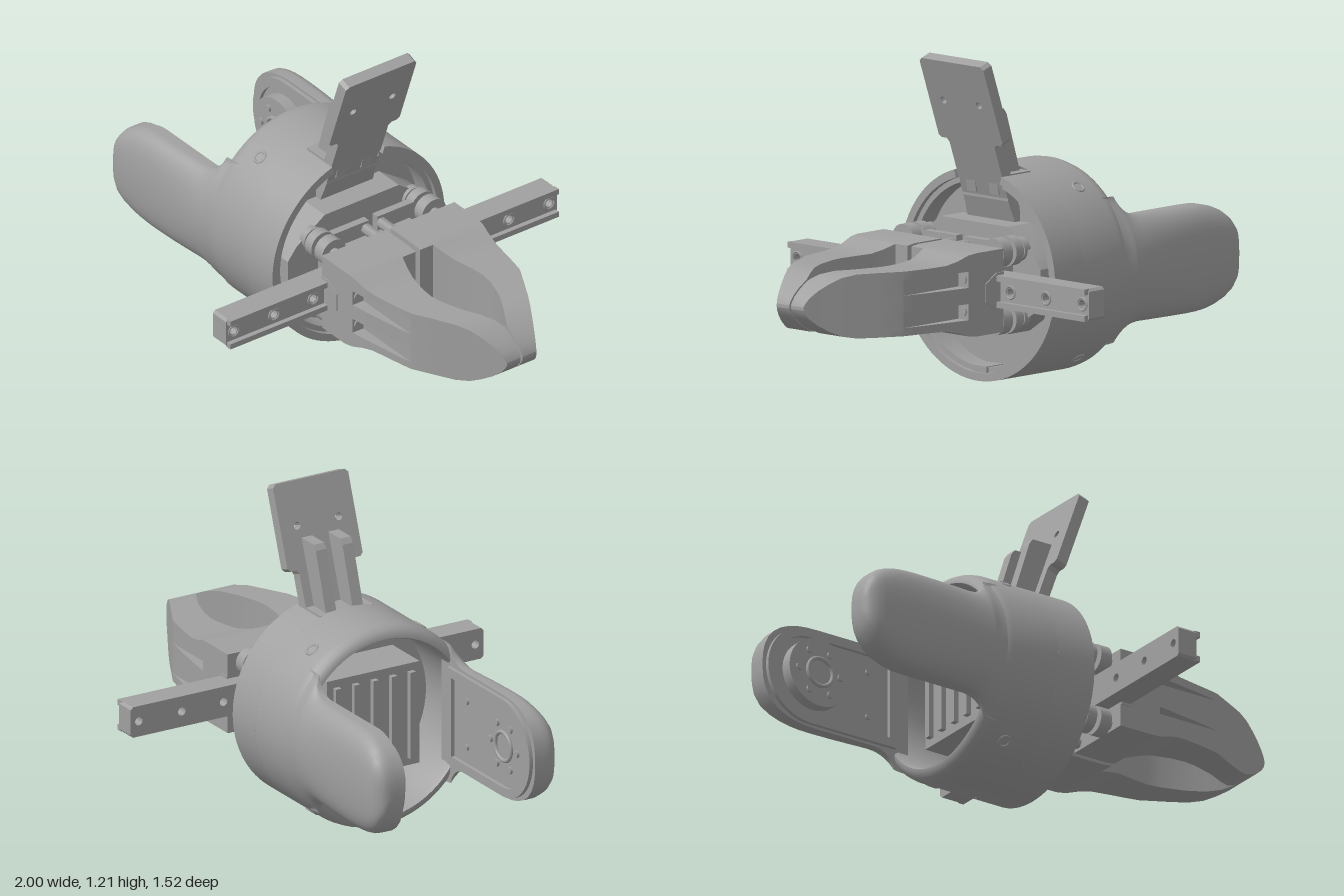
import * as THREE from 'three';
import { toCreasedNormals } from 'three/addons/utils/BufferGeometryUtils.js';

const CY = 0.4; // height of the main axis

export function createModel() {
  const root = new THREE.Group();
  root.name = 'roboticGripper';
  const grey = new THREE.MeshStandardMaterial({ color: 0xa0a0a0, side: THREE.DoubleSide });
  grey.name = 'grey plastic';

  const add = (name, geo, x = 0, y = 0, z = 0, parent = root) => {
    const m = new THREE.Mesh(geo, grey);
    m.name = name;
    m.position.set(x, y, z);
    parent.add(m);
    return m;
  };
  const box = (name, x0, x1, y0, y1, z0, z1) =>
    add(name, new THREE.BoxGeometry(x1 - x0, y1 - y0, z1 - z0), (x0 + x1) / 2, (y0 + y1) / 2, (z0 + z1) / 2);
  // Extrudes a (z, y) shape from x0 to x1
  const extrudeX = (shape, x0, x1) =>
    toCreasedNormals(new THREE.ExtrudeGeometry(shape, { depth: x1 - x0, bevelEnabled: false, curveSegments: 40 })
      .rotateY(Math.PI / 2).translate(x0, 0, 0), 0.5);
  const polygon = (pts) => new THREE.Shape(pts.map((p) => new THREE.Vector2(...p)));
  const hole = (shape, x, y, r) => shape.holes.push(new THREE.Path().absarc(x, y, r, 0, Math.PI * 2, true));
  const rod = (name, r, x0, x1, y, z, sides = 28) =>
    add(name, new THREE.CylinderGeometry(r, r, x1 - x0, sides).rotateZ(Math.PI / 2), (x0 + x1) / 2, y, z);
  const button = (name, r, depth, x, y, z, sides = 32) =>
    add(name, new THREE.CylinderGeometry(r, r, depth, sides).rotateX(Math.PI / 2), x, y, z);

  // Skins a row of closed cross-sections that follow x; each is a list of [z, y]
  const loft = (sections, crease) => {
    const n = sections[0].pts.length, pos = [], idx = [];
    sections.forEach(({ x, pts }) => pts.forEach(([z, y]) => pos.push(x, y, z)));
    for (let i = 0; i < sections.length - 1; i++) {
      for (let j = 0; j < n; j++) {
        const a = i * n + j, b = i * n + (j + 1) % n, c = b + n, d = a + n;
        idx.push(a, d, c, a, c, b);
      }
    }
    const cap = (s) => THREE.ShapeUtils.triangulateShape(s.pts.map((p) => new THREE.Vector2(...p)), []);
    const last = (sections.length - 1) * n;
    cap(sections[0]).forEach(([a, b, c]) => idx.push(a, b, c));
    cap(sections[sections.length - 1]).forEach(([a, b, c]) => idx.push(last + a, last + c, last + b));
    const g = new THREE.BufferGeometry();
    g.setAttribute('position', new THREE.Float32BufferAttribute(pos, 3));
    g.setIndex(idx);
    return toCreasedNormals(g, crease);
  };
  const mirrored = (pts, s) => (s > 0 ? pts : pts.map(([z, y]) => [-z, y]).reverse());

  // Round housing: rounded rear sleeve and a front sleeve with a slot at the top
  const profile = [[0.345, -0.15], [0.345, -0.395], [0.352, -0.41], [0.365, -0.408], [0.382, -0.395],
    [0.391, -0.375], [0.395, -0.35], [0.395, -0.15]].map((p) => new THREE.Vector2(...p));
  add('rearSleeve', toCreasedNormals(new THREE.LatheGeometry(profile, 80).rotateZ(-Math.PI / 2), 0.6), 0, CY);
  const gap = 0.31, a0 = Math.PI / 2 + gap, a1 = Math.PI * 2.5 - gap;
  const sector = (rIn, rOut) => {
    const s = new THREE.Shape();
    s.absarc(0, 0, rOut, a0, a1, false);
    s.absarc(0, 0, rIn, a1, a0, true);
    return s;
  };
  add('frontSleeve', extrudeX(sector(0.365, 0.395), -0.15, 0.01), 0, CY);
  add('innerLip', extrudeX(sector(0.345, 0.37), -0.15, -0.01), 0, CY);
  rod('bulkhead', 0.35, -0.14, -0.09, CY, 0, 64);
  box('rimKey', -0.09, 0.0, 0.03, 0.06, -0.035, 0.035);

  // Screw bosses around the housing
  for (const sy of [-1, 1]) for (const sz of [-1, 1]) {
    const ring = add('housingScrewRing', new THREE.TorusGeometry(0.022, 0.006, 8, 24), -0.28, CY + sy * 0.317, sz * 0.232);
    ring.lookAt(-0.28, CY + sy * 0.634, sz * 0.464);
  }

  // Drive box inside the housing
  box('driveBox', -0.33, -0.14, 0.2, 0.6, -0.2, 0.2);
  for (let i = -2; i <= 2; i++) box('driveRib', -0.35, -0.33, 0.23, 0.57, i * 0.08 - 0.012, i * 0.08 + 0.012);

  // Rear side arms, rounded at the tip and flared into the housing
  const armXs = [-1, -0.997, -0.99, -0.975, -0.95, -0.92, -0.88, -0.84, -0.8, -0.75, -0.65, -0.55, -0.5, -0.47,
    -0.45, -0.435, -0.422, -0.412, -0.38, -0.35];
  const armSection = (x, s) => {
    const tip = Math.max(0, Math.min(0.999, (-0.75 - x) / 0.25));
    const u = Math.max(0, Math.min(0.985, (x + 0.5) / 0.09));
    const h = 0.2 * (1 - tip ** 2.6) ** (1 / 2.6) + 0.09 * (1 - Math.sqrt(1 - u * u));
    const k = 0.72 + 0.28 * Math.max(0, Math.min(1, (x + 0.7) / 0.26));
    const nose = Math.max(0, Math.min(1, (-0.93 - x) / 0.07));
    const R = x > -0.42 ? 0.391 : 0.395, zin = 0.283;
    const pts = [];
    for (let i = 0; i <= 24; i++) {
      const t = Math.sin((i / 24 - 0.5) * Math.PI), dy = h * t;
      const edge = 0.4 + 0.6 * Math.sqrt(Math.max(0, 1 - t ** 6));
      const thick = Math.max(0.004, Math.sqrt(R * R - (k * dy) ** 2) - zin);
      pts.push([zin + thick * edge * (0.5 + 0.5 * Math.sqrt(1 - nose * nose)), CY + dy]);
    }
    pts.push([zin, CY + h], [zin, CY - h]);
    return { x, pts: mirrored(pts, s) };
  };
  const stadium = (C, x0, x1, r) => {
    const p = new C();
    p.moveTo(x1, r);
    p.lineTo(x0 + r, r);
    p.absarc(x0 + r, 0, r, Math.PI / 2, Math.PI * 1.5, false);
    p.lineTo(x1, -r);
    p.closePath();
    return p;
  };
  const rim = stadium(THREE.Shape, -0.985, -0.41, 0.19);
  rim.holes.push(stadium(THREE.Path, -0.95, -0.44, 0.155));
  const rimGeo = new THREE.ExtrudeGeometry(rim, { depth: 0.016, bevelEnabled: false, curveSegments: 24 });
  for (const s of [1, -1]) {
    add(s > 0 ? 'frontArm' : 'rearArm', loft(armXs.map((x) => armSection(x, s)), 0.6));
    add('armInnerRim', toCreasedNormals(rimGeo, 0.5), 0, CY, s > 0 ? 0.268 : -0.284);
    const z = s > 0 ? 0.279 : -0.222;
    if (s < 0) {
      button('hornDisc', 0.135, 0.045, -0.785, CY, -0.2475, 48);
      button('hornBase', 0.11, 0.03, -0.785, CY, -0.275, 48);
    }
    add('hubRing', new THREE.TorusGeometry(0.055, 0.008, 8, 36), -0.785, CY, z);
    for (let i = 0; i < 6; i++) {
      const a = i * Math.PI / 3;
      button('hubBolt', 0.014, 0.012, -0.785 + 0.092 * Math.cos(a), CY + 0.092 * Math.sin(a), z, 12);
    }
    for (const y of [-0.09, 0.09]) button('armBolt', 0.012, 0.012, -0.53, CY + y, s * 0.28, 12);
  }

  // Tilted mounting plate with two holes
  const half = [[0.115, -0.13], [0.115, 0.115], [0.125, 0.13], [0.15, 0.13], [0.162, 0.142], [0.162, 0.443], [0.149, 0.456]];
  const bottom = [[0.12, -0.235], [0.12, -0.17]];
  const side = [...bottom, ...half];
  const plateShape = polygon([...side, ...side.map(([z, y]) => [-z, y]).reverse()]);
  for (const z of [-0.09, 0.09]) hole(plateShape, z, 0.29, 0.014);
  const plate = add('mountingPlate', extrudeX(plateShape, -0.045, 0), 0, 0.775, 0);
  plate.rotation.z = -0.34;

  // Ribs behind the mounting plate
  const ribShape = polygon([[-0.155, 0.7], [-0.02, 0.7], [0.045, 1.02], [-0.045, 1.02], [-0.06, 1.0]]);
  const ribGeo = new THREE.ExtrudeGeometry(ribShape, { depth: 0.045, bevelEnabled: false });
  for (const z of [0.035, -0.08]) add('plateRib', ribGeo, 0, 0, z);
  box('ribFoot', -0.15, -0.03, 0.68, 0.78, -0.115, 0.115);

  // Front bracket
  const bracket = [[0.17, 0.2], [0.3, 0.11], [0.34, 0.06], [0.34, -0.06], [0.3, -0.11], [0.17, -0.2]];
  add('frontBracket', extrudeX(polygon([...bracket, ...bracket.map(([z, y]) => [-z, -y])]), -0.09, 0.03), 0, CY);
  box('centreBlock', 0.03, 0.13, 0.34, 0.46, -0.2, 0.2);

  // Linkage joints and bars
  for (const sy of [-1, 1]) {
    const y = CY + sy * 0.125;
    for (const sz of [-1, 1]) {
      const z = sz * 0.23;
      rod('jointPin', 0.022, 0.0, 0.2, y, z, 16);
      rod('jointInner', 0.055, 0.06, 0.1, y, z);
      rod('jointOuter', 0.055, 0.118, 0.165, y, z);
      rod('jointFoot', 0.045, 0.015, 0.045, y, z);
      rod('fingerScrew', 0.022, 0.1, 0.2, y, sz * 0.035, 6);
      box('linkBar', 0.07, 0.1, y - 0.03, y + 0.03, Math.min(z, sz * 0.02), Math.max(z, sz * 0.02));
    }
  }

  // Slide rail with holes and two lips
  const rail = polygon([[-0.76, -0.05], [-0.75, -0.06], [0.75, -0.06], [0.76, -0.05], [0.76, 0.05], [0.75, 0.06],
    [-0.75, 0.06], [-0.76, 0.05]]);
  for (const z of [0.36, 0.54, 0.725]) for (const s of [-1, 1]) hole(rail, s * z, 0, 0.016);
  add('slideRail', extrudeX(rail, 0.13, 0.21), 0, CY);
  for (const s of [-1, 1]) {
    const y = CY + s * 0.049;
    box('railLip', 0.205, 0.23, y - 0.011, y + 0.011, -0.755, 0.755);
    for (const z of [0.36, 0.54, 0.725]) {
      add('railHoleRing', new THREE.TorusGeometry(0.023, 0.004, 6, 24).rotateY(Math.PI / 2), 0.21, CY, s * z);
    }
  }

  // Fingers: x, inner z, outer z, half height, slotted
  const fingerRows = [
    [0.19, 0.01, 0.305, 0.155, 0], [0.33, 0.01, 0.305, 0.155, 0], [0.37, 0.01, 0.3, 0.15, 0],
    [0.37, 0.07, 0.3, 0.15, 1], [0.42, 0.085, 0.293, 0.133, 1], [0.47, 0.098, 0.285, 0.122, 1],
    [0.55, 0.115, 0.272, 0.12, 1], [0.61, 0.12, 0.261, 0.12, 1], [0.66, 0.113, 0.25, 0.12, 0],
    [0.75, 0.085, 0.203, 0.12, 0], [0.82, 0.05, 0.166, 0.119, 0], [0.87, 0.022, 0.139, 0.109, 0],
    [0.91, 0.004, 0.117, 0.09, 0], [0.95, 0.004, 0.095, 0.065, 0], [0.98, 0.004, 0.079, 0.039, 0],
    [0.995, 0.004, 0.071, 0.018, 0], [1, 0.004, 0.068, 0.006, 0],
  ];
  const fingerSection = ([x, zi, zo, h, slotted], s) => {
    const zs = slotted ? Math.min(zo, 0.25) : zo;
    const a = Math.min(0.09, h * 0.75), b = Math.min(0.03, h * 0.25);
    const pts = [[zi, -h], [zo, -h], [zo, -a], [zs, -a], [zs, -b], [zo, -b],
      [zo, b], [zs, b], [zs, a], [zo, a], [zo, h], [zi, h]].map(([z, y]) => [z, CY + y]);
    return { x, pts: mirrored(pts, s) };
  };
  const hex = polygon([[0.19, -0.07], [0.23, -0.07], [0.285, -0.035], [0.285, 0.035], [0.23, 0.07], [0.19, 0.07]]);
  for (const s of [1, -1]) {
    add(s > 0 ? 'frontFinger' : 'rearFinger', loft(fingerRows.map((r) => fingerSection(r, s)), 0.35));
    add('fingerCarriage', new THREE.ExtrudeGeometry(hex, { depth: 0.008, bevelEnabled: false }), 0, CY, s > 0 ? 0.301 : -0.309);
    for (const y of [-0.06, 0.06]) rod('fingerBolt', 0.018, 0.365, 0.376, CY + y, s * 0.275, 12);
  }
  return root;
}
